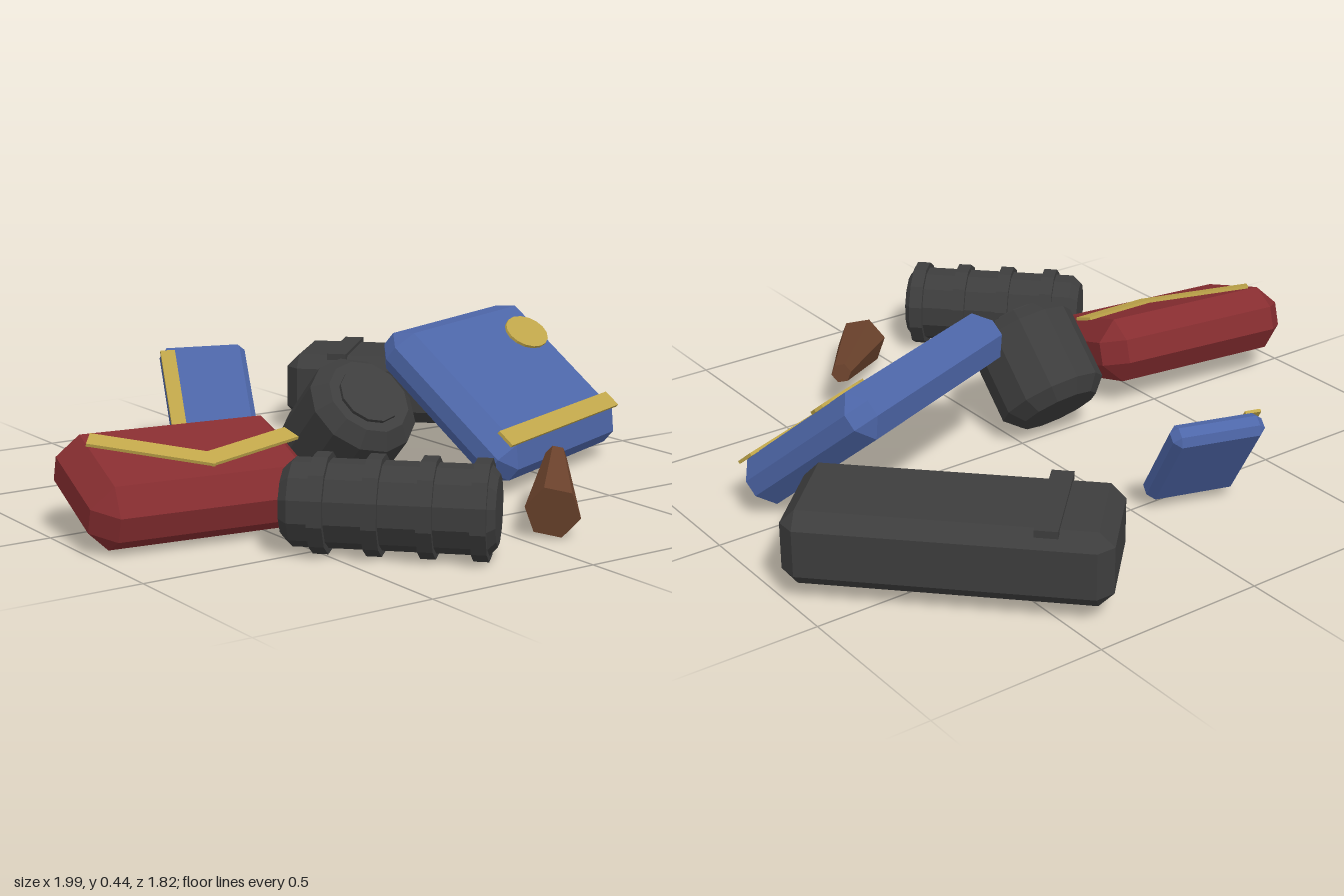
import * as THREE from 'three';
import { ConvexGeometry } from 'three/addons/geometries/ConvexGeometry.js';

const material = (name, color) => {
  const m = new THREE.MeshStandardMaterial({ color });
  m.name = name;
  return m;
};
const rad = THREE.MathUtils.degToRad;
const UP = new THREE.Vector3(0, 1, 0);

// Box with every edge and corner cut by c
function chamferBox(w, h, d, c) {
  const pts = [];
  const x = w / 2, y = h / 2, z = d / 2;
  for (const i of [-1, 1]) for (const j of [-1, 1]) for (const k of [-1, 1]) {
    pts.push(new THREE.Vector3(i * x, j * (y - c), k * (z - c)));
    pts.push(new THREE.Vector3(i * (x - c), j * y, k * (z - c)));
    pts.push(new THREE.Vector3(i * (x - c), j * (y - c), k * z));
  }
  return new ConvexGeometry(pts);
}

function flat(geometry) {
  const g = geometry.toNonIndexed();
  g.computeVertexNormals();
  return g;
}

// Faceted turned part from [radius, height] pairs, bottom to top
const turned = (profile, sides) =>
  flat(new THREE.LatheGeometry(profile.map(([r, y]) => new THREE.Vector2(r, y)), sides));

function add(parent, name, geometry, mat, x = 0, y = 0, z = 0) {
  const mesh = new THREE.Mesh(geometry, mat);
  mesh.name = name;
  mesh.position.set(x, y, z);
  parent.add(mesh);
  return mesh;
}

// Group turned by yaw, then pitched so that its front edge drops
function placed(parent, name, [x, y, z], yaw, pitch = 0) {
  const g = new THREE.Group();
  g.name = name;
  g.position.set(x, y, z);
  g.rotation.set(rad(pitch), rad(yaw), 0, 'YXZ');
  parent.add(g);
  return g;
}

// Flat bar lying on a face between two (x, z) points
function bar(parent, name, mat, a, b, width, y) {
  const dx = b[0] - a[0], dz = b[1] - a[1];
  const m = add(parent, name, new THREE.BoxGeometry(Math.hypot(dx, dz), 0.009, width), mat,
    (a[0] + b[0]) / 2, y, (a[1] + b[1]) / 2);
  m.rotation.y = -Math.atan2(dz, dx);
}

export function createModel() {
  const blue = material('blue', 0x4d66a8);
  const gold = material('gold', 0xc0a64a);
  const red = material('red', 0x862d30);
  const dark = material('charcoal', 0x3d3d3d);
  const brown = material('brown', 0x6b422c);
  const model = new THREE.Group();
  model.name = 'scatteredPieces';

  // Large blue slab with gold stripe and oval
  const large = placed(model, 'largeBlueSlab', [0.47, 0.25, 0.045], 22, 40);
  add(large, 'slabBody', chamferBox(0.7, 0.147, 0.546, 0.05), blue);
  bar(large, 'goldStripe', gold, [-0.333, 0.195], [0.333, 0.195], 0.056, 0.077);
  const oval = add(large, 'goldOval', flat(new THREE.CylinderGeometry(0.1, 0.1, 0.009, 16)), gold,
    0.224, 0.077, -0.118);
  oval.scale.z = 0.63;

  // Red slab with a bent gold stripe
  const redSlab = placed(model, 'redSlab', [-0.665, 0.148, 0.137], -7.5, 18);
  add(redSlab, 'slabBody', chamferBox(0.64, 0.19, 0.39, 0.06), red);
  bar(redSlab, 'longStripe', gold, [-0.25, -0.098], [0.045, 0.07], 0.058, 0.099);
  bar(redSlab, 'shortStripe', gold, [0.015, 0.066], [0.3, -0.02], 0.058, 0.099);

  // Small blue slab with a gold edge strip
  const small = placed(model, 'smallBlueSlab', [-0.145, 0.185, -0.625], -17, 55);
  add(small, 'slabBody', chamferBox(0.265, 0.07, 0.33, 0.02), blue);
  bar(small, 'goldEdge', gold, [-0.117, -0.145], [-0.117, 0.145], 0.045, 0.039);

  // Long dark case with a raised strap
  const crate = placed(model, 'darkCase', [0.604, 0.16, -0.53], -45);
  add(crate, 'caseBody', chamferBox(0.845, 0.21, 0.337, 0.04), dark);
  add(crate, 'caseStrap', new THREE.BoxGeometry(0.06, 0.02, 0.32), dark, -0.255, 0.105, 0);

  // Short drum, leaning with its raised disc up and forward
  const drum = placed(model, 'shortDrum', [-0.105, 0.21, 0.07], 0, 45);
  add(drum, 'drumBody', turned([[0, -0.15], [0.12, -0.15], [0.16, -0.11], [0.16, 0.11],
    [0.12, 0.15], [0, 0.15]], 12), dark);
  add(drum, 'drumDisc', flat(new THREE.CylinderGeometry(0.09, 0.09, 0.012, 12)), dark, 0, 0.154, 0);

  // Ribbed drum lying on its side
  const profile = [[0, -0.275], [0.092, -0.275], [0.115, -0.25]];
  for (const y of [-0.176, -0.038, 0.1, 0.235]) {
    profile.push([0.115, y - 0.02], [0.131, y - 0.02], [0.131, y + 0.02], [0.115, y + 0.02]);
  }
  profile.push([0.092, 0.275], [0, 0.275]);
  const ribbed = add(model, 'ribbedDrum', turned(profile, 12), dark, -0.355, 0.14, 0.63);
  ribbed.quaternion.setFromUnitVectors(UP, new THREE.Vector3(1, 0, 1).normalize());

  // Tapered brown peg
  const base = new THREE.Vector3(0.07, 0.085, 0.76), tip = new THREE.Vector3(0.32, 0.15, 0.475);
  const axis = tip.clone().sub(base);
  const mid = base.clone().add(tip).multiplyScalar(0.5);
  const peg = add(model, 'brownPeg',
    flat(new THREE.CylinderGeometry(0.03, 0.075, axis.length(), 6)), brown, mid.x, mid.y, mid.z);
  peg.quaternion.setFromUnitVectors(UP, axis.normalize());

  return model;
}
